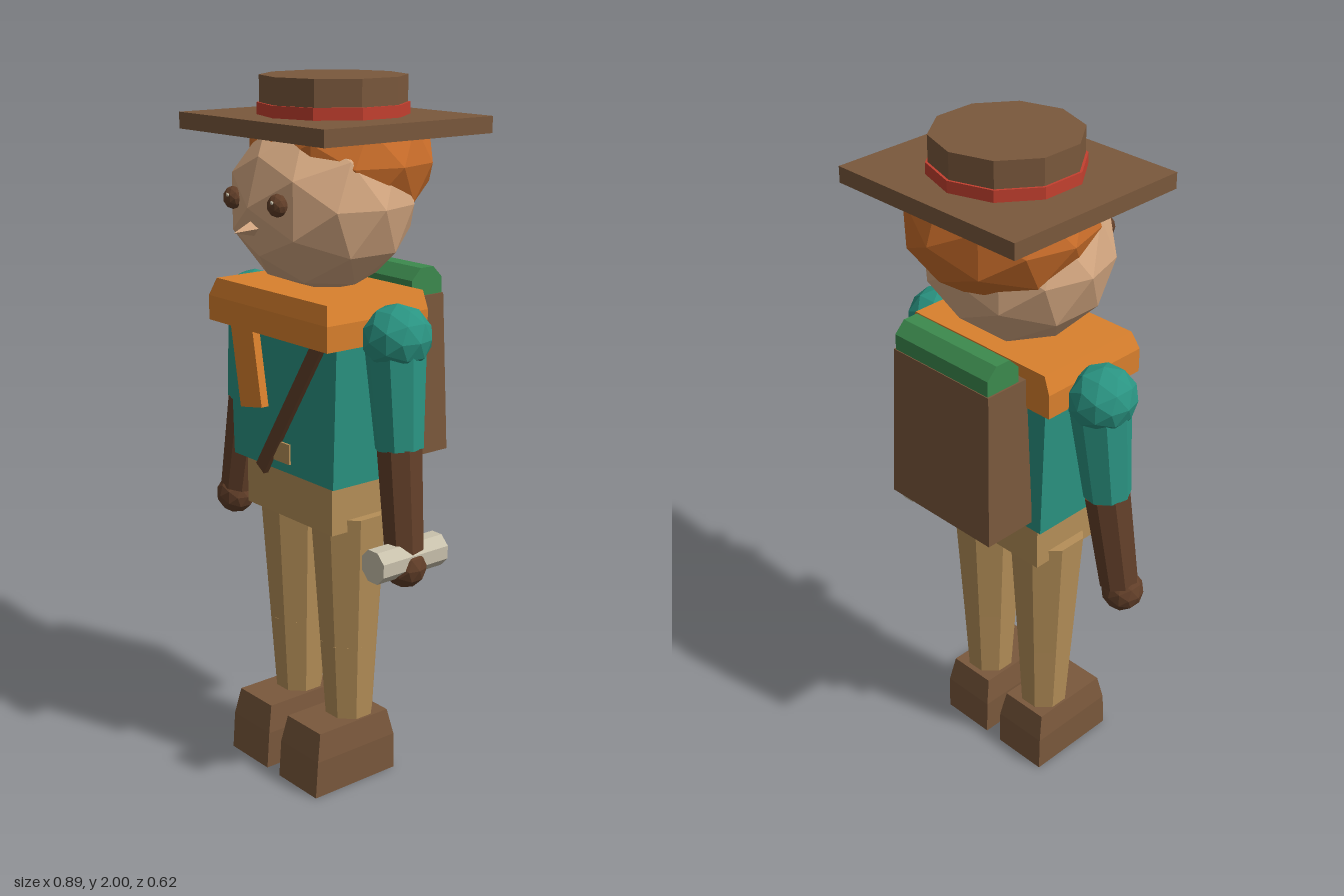
import * as THREE from 'three';

const paint = (name, color) => {
  const m = new THREE.MeshStandardMaterial({ color });
  m.name = name;
  return m;
};

// Give every facet its own normal for the low-poly look
function facet(geo) {
  const g = geo.index ? geo.toNonIndexed() : geo;
  g.computeVertexNormals();
  return g;
}

// Stack of rectangles, bottom to top: [y, halfWidth, zBack, zFront]
function loftBox(levels) {
  const n = levels.length - 1;
  const g = new THREE.BoxGeometry(2, n, 1, 1, n, 1);
  const p = g.attributes.position;
  for (let i = 0; i < p.count; i++) {
    const [y, w, z0, z1] = levels[Math.round(p.getY(i) + n / 2)];
    p.setXYZ(i, p.getX(i) * w, y, p.getZ(i) > 0 ? z1 : z0);
  }
  return g;
}

// Tapered cylinder running from point a to point b
function limb(a, b, ra, rb, sides = 8) {
  const A = new THREE.Vector3(...a), B = new THREE.Vector3(...b);
  const dir = B.clone().sub(A);
  const g = new THREE.CylinderGeometry(rb, ra, dir.length(), sides);
  g.rotateY(Math.PI / sides);
  g.applyQuaternion(new THREE.Quaternion().setFromUnitVectors(new THREE.Vector3(0, 1, 0), dir.normalize()));
  const mid = A.add(B).multiplyScalar(0.5);
  return g.translate(mid.x, mid.y, mid.z);
}

// Faceted ball with separate radii
function ball(center, radii, detail = 1) {
  return new THREE.IcosahedronGeometry(1, detail).scale(...radii).translate(...center);
}

// Box turned about z
const slat = (w, h, d, turn, center) =>
  new THREE.BoxGeometry(w, h, d).rotateZ(turn).translate(...center);

export function createModel() {
  const skin = paint('skin', 0xd6a982);
  const ginger = paint('ginger', 0xc96d2a);
  const orange = paint('orange', 0xd9802d);
  const teal = paint('teal', 0x2a9482);
  const tan = paint('tan', 0xb58f58);
  const brown = paint('brown', 0x7a583c);
  const darkBrown = paint('dark brown', 0x623f29);
  const red = paint('red', 0xc4402f);
  const green = paint('green', 0x3c8a4e);
  const pale = paint('pale', 0xc9c1ac);

  const model = new THREE.Group();
  const add = (name, geo, mat, parent = model) => {
    const mesh = new THREE.Mesh(facet(geo), mat);
    mesh.name = name;
    parent.add(mesh);
    return mesh;
  };
  const group = (name) => {
    const g = new THREE.Group();
    g.name = name;
    model.add(g);
    return g;
  };

  // Hat: square brim, ten-sided crown and band
  const hat = group('hat');
  const hatZ = -0.027;
  add('hatBrim', new THREE.BoxGeometry(0.628, 0.045, 0.575).translate(0, 1.8735, hatZ), brown, hat);
  add('hatCrown', new THREE.CylinderGeometry(0.2, 0.2, 0.12, 10).translate(0, 1.94, hatZ), brown, hat);
  add('hatBand', new THREE.CylinderGeometry(0.207, 0.207, 0.04, 10).translate(0, 1.908, hatZ), red, hat);

  // Head
  const head = group('head');
  add('skull', ball([0, 1.67, 0.013], [0.265, 0.25, 0.252]), skin, head);
  const hair = ball([0, 1.775, -0.05], [0.263, 0.205, 0.257]);
  const hp = hair.attributes.position;
  for (let i = 0; i < hp.count; i++) hp.setY(i, Math.min(hp.getY(i), 1.88)); // stays under the hat
  add('hair', hair, ginger, head);
  add('nose', new THREE.ConeGeometry(0.027, 0.08, 4).rotateX(Math.PI / 2 + 0.12).translate(0, 1.613, 0.27), skin, head);
  for (const s of [-1, 1]) {
    add('eye', ball([s * 0.097, 1.685, 0.24], [0.03, 0.031, 0.026]), darkBrown, head);
    add('eyeGlint', ball([s * 0.097 + 0.008, 1.695, 0.264], [0.006, 0.006, 0.004], 0), pale, head);
  }

  // Torso and hips
  add('torso', loftBox([[0.925, 0.225, -0.127, 0.158], [1.36, 0.24, -0.127, 0.158]]), teal);
  add('hips', loftBox([[0.78, 0.193, -0.105, 0.135], [0.94, 0.193, -0.105, 0.135]]), tan);
  add('buckle', slat(0.07, 0.058, 0.009, 0, [0.005, 0.982, 0.16]), tan);

  // Scarf with a hanging end
  add('scarf', loftBox([
    [1.32, 0.264, -0.14, 0.21], [1.39, 0.264, -0.14, 0.21], [1.44, 0.245, -0.138, 0.195],
  ]), orange);
  add('scarfEnd', slat(0.1, 0.25, 0.024, 0.18, [-0.127, 1.215, 0.173]), orange);

  // Backpack, chest strap and bedroll
  add('strap', slat(0.042, 0.5, 0.016, -0.57, [0.05, 1.125, 0.164]), darkBrown);
  add('backpack', loftBox([[0.95, 0.192, -0.29, -0.125], [1.405, 0.18, -0.275, -0.138]]), brown);
  add('bedroll', limb([-0.175, 1.427, -0.217], [0.175, 1.427, -0.217], 0.06, 0.06), green);

  // Arms and legs, mirrored
  for (const s of [-1, 1]) {
    const side = s > 0 ? 'left' : 'right';

    const arm = group(side + 'Arm');
    const elbow = [s * 0.335, 1.045, 0.02];
    add('shoulder', ball([s * 0.312, 1.342, 0.012], [0.092, 0.092, 0.098]), teal, arm);
    add('sleeve', limb([s * 0.305, 1.32, 0.012], elbow, 0.084, 0.066), teal, arm);
    add('forearm', limb(elbow, [s * 0.377, 0.76, 0.035], 0.065, 0.056), darkBrown, arm);
    add('hand', ball([s * 0.387, 0.733, 0.04], [0.06, 0.062, 0.06]), darkBrown, arm);

    const leg = group(side + 'Leg');
    const x = s * 0.117;
    add('thigh', limb([x, 0.42, 0.01], [x, 0.815, 0.012], 0.086, 0.112), tan, leg);
    add('shin', limb([x, 0.17, 0.008], [x, 0.42, 0.01], 0.07, 0.086), tan, leg);
    add('boot', loftBox([
      [0, 0.086, -0.095, 0.2], [0.11, 0.086, -0.093, 0.192], [0.19, 0.075, -0.075, 0.175],
    ]).translate(x - s * 0.002, 0, 0), brown, leg);
  }

  // Rod held in the left hand
  add('rod', limb([0.387, 0.755, -0.075], [0.387, 0.755, 0.155], 0.048, 0.048), pale);

  return model;
}
